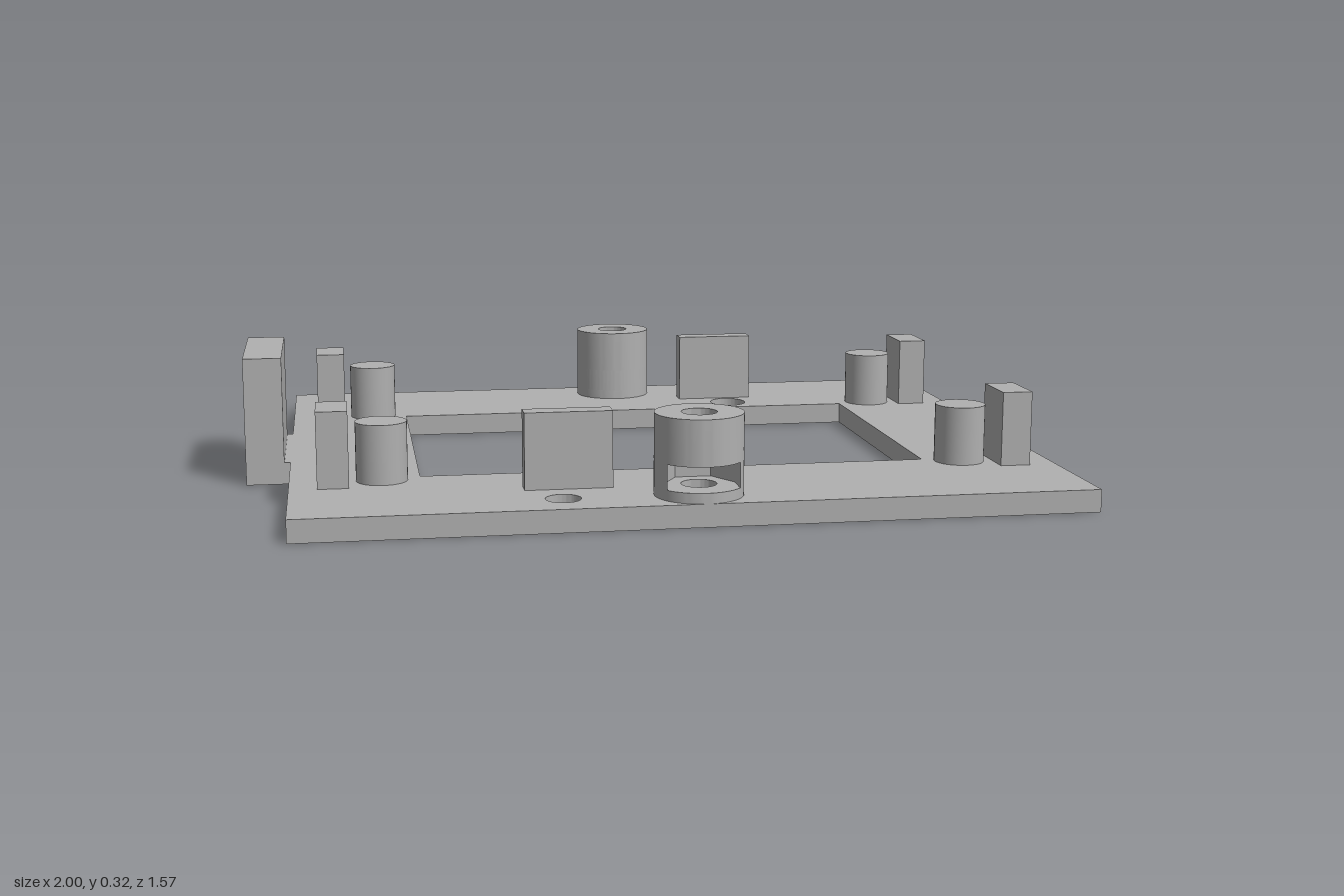
import * as THREE from 'three';
import { toCreasedNormals } from 'three/addons/utils/BufferGeometryUtils.js';

const PLATE = 0.055; // plate thickness

export function createModel() {
  const model = new THREE.Group();
  model.name = 'mountingFrame';
  const grey = new THREE.MeshStandardMaterial({ color: 0xb0b0b0 });
  grey.name = 'grey';

  const add = (parent, name, geometry) => {
    const mesh = new THREE.Mesh(geometry, grey);
    mesh.name = name;
    parent.add(mesh);
    return mesh;
  };

  // Box given by its extents
  const block = (name, x0, x1, y0, y1, z0, z1) =>
    add(model, name, new THREE.BoxGeometry(x1 - x0, y1 - y0, z1 - z0))
      .position.set((x0 + x1) / 2, (y0 + y1) / 2, (z0 + z1) / 2);

  // Plan outline (x, z) raised from y0 to y1
  const slab = (shape, y0, y1) => {
    const g = new THREE.ExtrudeGeometry(shape, { depth: y1 - y0, bevelEnabled: false, curveSegments: 40 });
    g.rotateX(Math.PI / 2).translate(0, y1, 0);
    return toCreasedNormals(g, 0.5);
  };
  const polygon = (points) => points.map(([x, z]) => new THREE.Vector2(x, z));
  const hole = (x, z, rx, rz = rx) => new THREE.Path().absellipse(x, z, rx, rz, 0, Math.PI * 2, true);

  // Base plate with side tab, window and drilled holes
  const base = new THREE.Shape(polygon([
    [-0.89, -0.787], [1, -0.787], [1, 0.787], [-0.89, 0.787],
    [-0.89, 0.185], [-1, 0.185], [-1, -0.185], [-0.89, -0.185],
  ]));
  base.holes.push(
    new THREE.Path(polygon([[-0.577, -0.393], [-0.577, 0.393], [0.685, 0.393], [0.685, -0.393]])),
    hole(0.055, 0.682, 0.042), hole(0.055, -0.682, 0.042),
    hole(-0.262, 0.68, 0.042), hole(-0.262, 0.47, 0.05),
    hole(0.368, -0.684, 0.042), hole(0.368, -0.475, 0.05, 0.056),
  );
  add(model, 'basePlate', slab(base, 0, PLATE));
  block('sideTab', -1, -0.905, PLATE, 0.32, -0.185, 0.185);

  // Screw bosses, each with a hexagonal nut pocket opening outwards
  const R = 0.105, H = 0.085;
  const ring = new THREE.Shape().absarc(0, 0, R, 0, Math.PI * 2);
  ring.holes.push(hole(0, 0, 0.042));
  const a = Math.acos(H / R);
  const pocket = new THREE.Shape().absarc(0, 0, R, a, Math.PI - a, true);
  for (const deg of [180, 240, 300, 360]) {
    const t = THREE.MathUtils.degToRad(deg);
    pocket.lineTo(H * Math.cos(t), H * Math.sin(t));
  }
  pocket.closePath();
  for (const side of [1, -1]) {
    const boss = new THREE.Group();
    boss.name = side > 0 ? 'frontBoss' : 'backBoss';
    add(boss, 'bossFoot', slab(ring, PLATE, 0.08));
    add(boss, 'nutPocket', slab(pocket, 0.08, 0.14));
    add(boss, 'bossTop', slab(ring, 0.14, 0.25));
    boss.position.set(0.055, 0, side * 0.682);
    boss.rotation.y = side > 0 ? 0 : Math.PI;
    model.add(boss);
  }

  // Corner posts and stop blocks
  for (const side of [1, -1]) {
    const z0 = side > 0 ? 0.365 : -0.5;
    for (const [px, bx] of [[-0.669, -0.823], [0.773, 0.856]]) {
      add(model, 'cornerPost', new THREE.CylinderGeometry(0.062, 0.062, 0.2 - PLATE, 40))
        .position.set(px, (0.2 + PLATE) / 2, side * 0.42);
      block('stopBlock', bx, bx + 0.075, PLATE, 0.24, z0, z0 + 0.135);
    }
  }

  // Upright fins between the drilled holes
  block('frontFin', -0.342, -0.132, PLATE, 0.24, 0.535, 0.587);
  block('backFin', 0.236, 0.446, PLATE, 0.24, -0.594, -0.542);

  return model;
}
